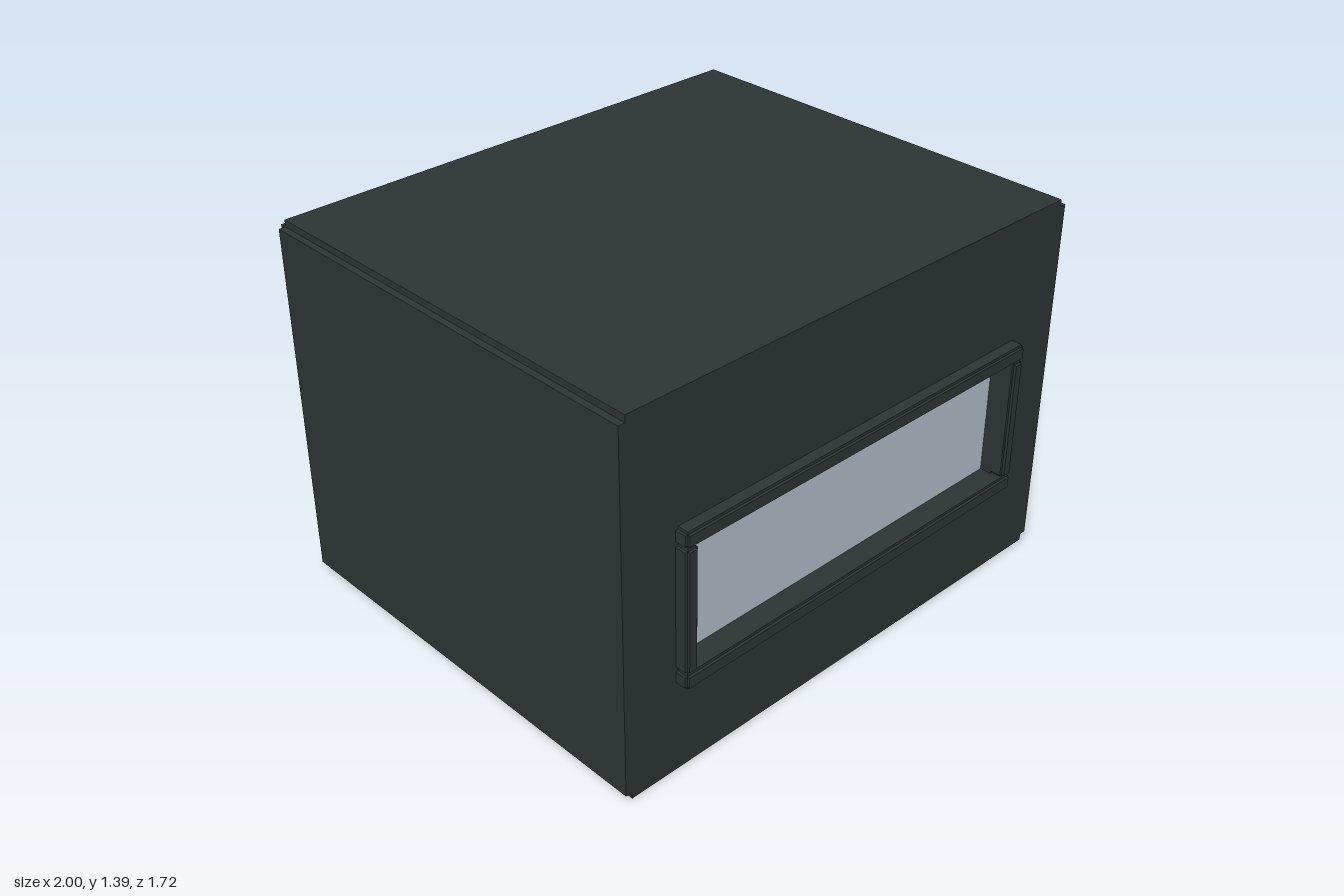
import * as THREE from 'three';

export function createModel() {
  const model = new THREE.Group();
  const casing = new THREE.MeshStandardMaterial({ color: 0x2d3535 });
  casing.name = 'darkCasing';
  const glass = new THREE.MeshStandardMaterial({ color: 0xb3c0ca });
  glass.name = 'paleGlass';

  // Box given by its low and high corners
  function box(parent, name, lo, hi, material = casing) {
    const size = hi.map((v, i) => v - lo[i]);
    const mesh = new THREE.Mesh(new THREE.BoxGeometry(...size), material);
    mesh.position.set(...lo.map((v, i) => (v + hi[i]) / 2));
    mesh.name = name;
    parent.add(mesh);
  }

  // Bar with stepped edges: three boxes, each full length along one axis only
  function steppedBar(name, lo, hi, step) {
    const bar = new THREE.Group();
    bar.name = name;
    for (let axis = 0; axis < 3; axis++) {
      box(bar, name + 'Layer',
        lo.map((v, i) => (i === axis ? v : v + step)),
        hi.map((v, i) => (i === axis ? v : v - step)));
    }
    model.add(bar);
  }

  // Outer panels, set out from each other so every edge is notched
  const F = 0.81, B = -0.86, H = 1.39, T = 0.025;
  const W = 1 - T;
  box(model, 'floorPanel', [-W, 0, B + T], [W, T, F]);
  box(model, 'roofPanel', [-W, H - T, B + T], [W, H, F]);
  box(model, 'leftPanel', [W, T, B + T], [1, H - T, F]);
  box(model, 'rightPanel', [-1, T, B + T], [-W, H - T, F]);
  box(model, 'backPanel', [-W, T, B], [W, H - T, B + T]);

  // Front wall with the window opening
  const x = 0.74, y0 = 0.405, y1 = 0.87, depth = 0.06;
  const wall = new THREE.Shape([[-W, T], [W, T], [W, H - T], [-W, H - T]]
    .map(p => new THREE.Vector2(...p)));
  wall.holes.push(new THREE.Path([[-x, y0], [-x, y1], [x, y1], [x, y0]]
    .map(p => new THREE.Vector2(...p))));
  const front = new THREE.Mesh(
    new THREE.ExtrudeGeometry(wall, { depth, bevelEnabled: false }), casing);
  front.position.z = F - depth;
  front.name = 'frontWall';
  model.add(front);

  // Recessed pane
  box(model, 'windowPane', [-x, y0, 0.758], [x, y1, 0.766], glass);

  // Window frame
  const s = 0.01, z0 = 0.78, z1 = 0.86, X = 0.79;
  steppedBar('frameTop', [-X, y1, z0], [X, 0.93, z1], s);
  steppedBar('frameBottom', [-X, 0.345, z0], [X, y0, z1], s);
  steppedBar('frameLeft', [x, y0, z0], [X, y1, z1], s);
  steppedBar('frameRight', [-X, y0, z0], [-x, y1, z1], s);

  return model;
}
